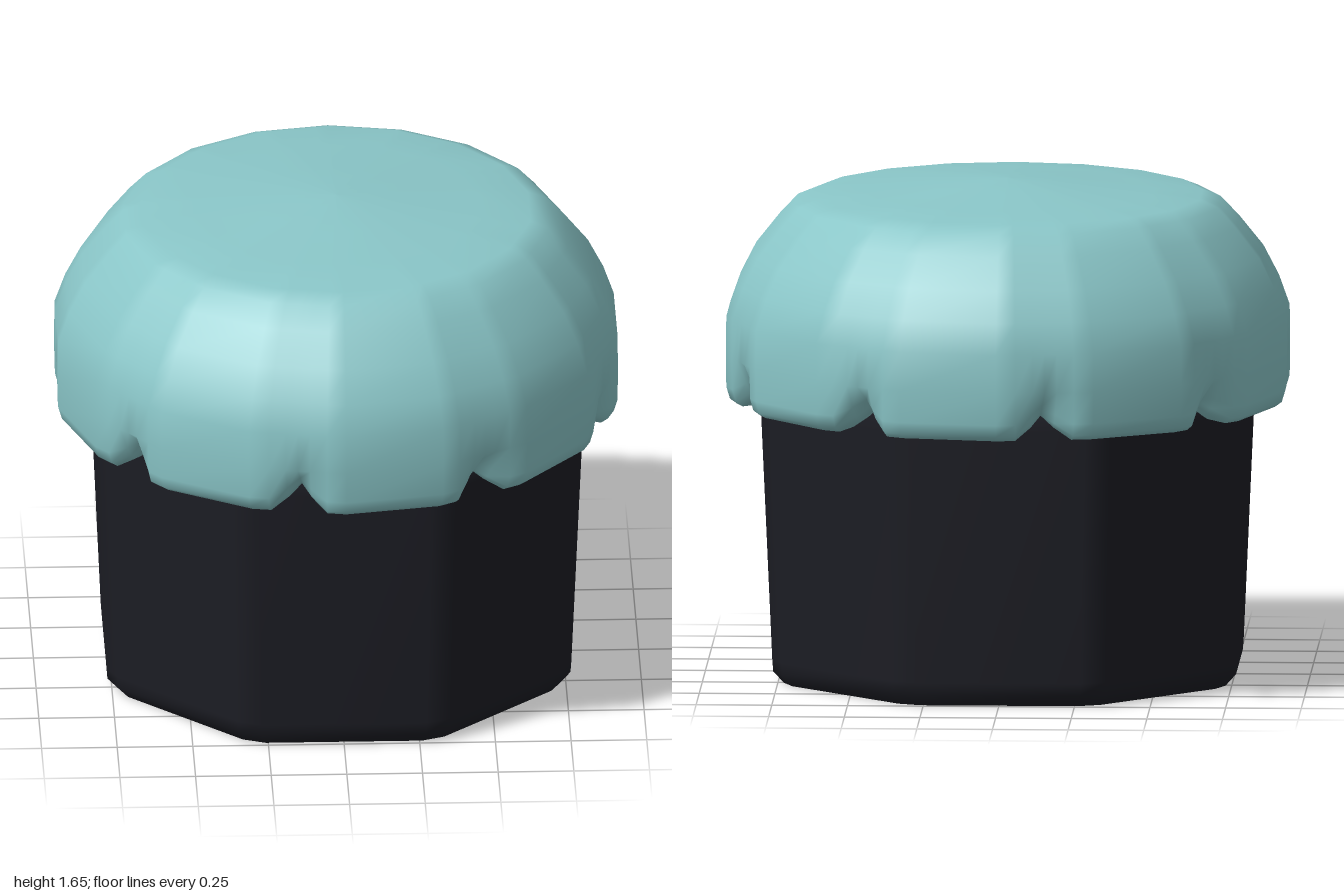
import * as THREE from 'three';

const rad = THREE.MathUtils.degToRad;

// Skin a stack of closed rings, listed from the underside up; point(row, angle) gives [x, y, z].
function loft(name, rows, angles, point, color) {
  const n = angles.length, pos = [], index = [];
  rows.forEach((row) => angles.forEach((a) => pos.push(...point(row, a))));
  for (let i = 0; i < rows.length - 1; i++) {
    for (let j = 0; j < n; j++) {
      const k = (j + 1) % n;
      const a = i * n + j, b = i * n + k, c = b + n, d = a + n;
      index.push(a, b, c, a, c, d);
    }
  }
  const geo = new THREE.BufferGeometry();
  geo.setAttribute('position', new THREE.Float32BufferAttribute(pos, 3));
  geo.setIndex(index);
  geo.computeVertexNormals();
  const mesh = new THREE.Mesh(geo, new THREE.MeshStandardMaterial({ color }));
  mesh.name = name;
  return mesh;
}

// Tapered octagonal cup with bevelled corners: rows are [y, half width across flats]
function makeCup() {
  const angles = [];
  for (let k = 0; k < 8; k++) angles.push(22.5 + 45 * k - 3, 22.5 + 45 * k + 3);
  const rows = [[0, 0.001], [0, 0.7], [0, 0.73], [0.04, 0.765], [0.08, 0.768],
    [0.92, 0.805], [1.05, 0.81], [1.05, 0.001]];
  return loft('cup', rows, angles, ([y, w], deg) => {
    const r = w / Math.cos(rad(19.5)), a = rad(deg);
    return [r * Math.sin(a), y, r * Math.cos(a)];
  }, 0x1c1d24);
}

// Eighteen-sided slightly oval dome with nine lobes.
// Rows are [y, radius, notch rise, notch inset]
function makeTopping() {
  const angles = [];
  for (let k = 0; k < 9; k++) for (const d of [0, 2.5, 6, 10, 30, 34, 37.5]) angles.push(30 + 40 * k + d);
  const rows = [
    [0.97, 0.76, 0.06, 0], [0.925, 0.88, 0.07, 0.03], [0.918, 0.96, 0.072, 0.07],
    [0.935, 0.985, 0.07, 0.075], [0.975, 0.998, 0.055, 0.06], [1.08, 1, 0, 0],
    [1.21, 0.998, 0, 0], [1.31, 0.96, 0, 0], [1.41, 0.905, 0, 0], [1.51, 0.82, 0, 0],
    [1.575, 0.755, 0, 0], [1.6, 0.69, 0, 0], [1.615, 0.5, 0, 0], [1.635, 0.28, 0, 0],
    [1.648, 0.12, 0, 0], [1.653, 0.001, 0, 0],
  ];
  return loft('topping', rows, angles, ([y, radius, rise, inset], deg) => {
    const m = (((deg - 30) % 40) + 40) % 40;
    const fromNotch = Math.min(m, 40 - m);
    const notch = Math.max(0, 1 - fromNotch / 6) ** 1.2;
    const side = (deg % 20) - 10; // offset from the middle of a flat side
    const r = radius * Math.cos(rad(10)) / Math.cos(rad(side)) - inset * notch;
    const a = rad(deg);
    return [0.94 * r * Math.sin(a), y + rise * notch, r * Math.cos(a)];
  }, 0x8ac6c8);
}

export function createModel() {
  const model = new THREE.Group();
  model.name = 'cupcake';
  model.add(makeCup(), makeTopping());
  return model;
}
